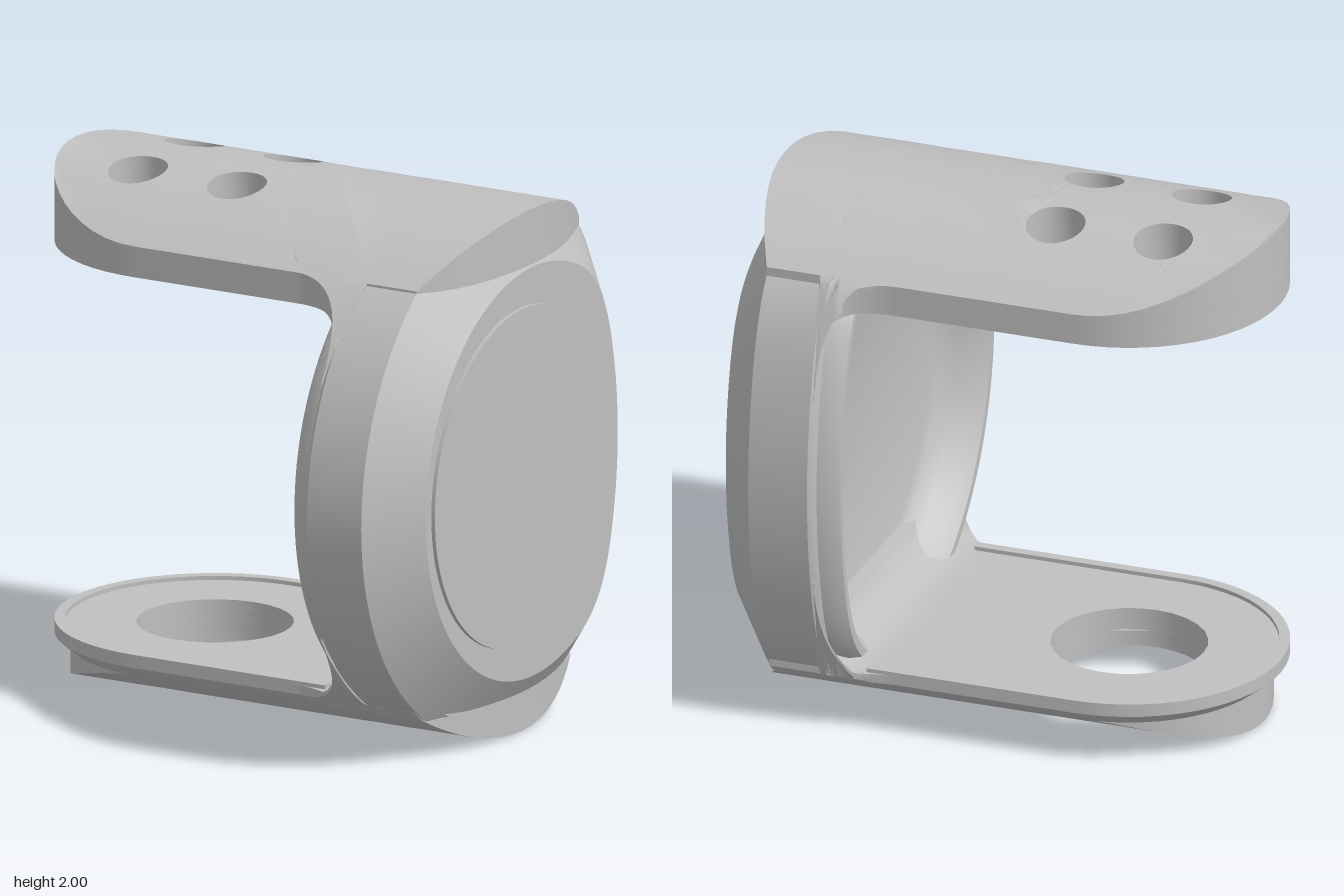
import * as THREE from 'three';
import { toCreasedNormals } from 'three/addons/utils/BufferGeometryUtils.js';

const HUB = -0.39, MID = -0.1; // x and z of the arms' round ends

// Half height of the barrel-shaped outer skin at depth z
function skin(z) {
  const round = 1 - (z - MID) ** 2;
  const back = z < 0 ? 3.92 - (1.1 - z) ** 2 : round;
  return Math.sqrt(Math.max(0, Math.min(round, back)));
}
const roof = (z) => 1 + skin(z);
const belly = (z) => 1 - skin(z);

// Rounded inside corner where an arm runs into the end block
function fillet(x) {
  const d = Math.min(Math.max(x - 0.42, 0), 0.19);
  return 0.2 - Math.sqrt(0.04 - d * d);
}

// Arm outline seen from above (shape y = -z): round end, straight sides, bowed far end
function armPlan(r, end, bow, flared) {
  const s = new THREE.Shape();
  const front = -MID - r, back = -MID + r;
  s.absarc(HUB, -MID, r, Math.PI / 2, Math.PI * 1.5, false);
  if (flared) {
    s.lineTo(0.3, front);
    s.absellipse(0.3, front - 0.28, 0.27, 0.28, Math.PI / 2, 0, true);
    s.lineTo(0.6, front);
  }
  s.lineTo(end, front);
  s.quadraticCurveTo(bow, -MID, end, back);
  if (flared) {
    s.lineTo(0.6, back);
    s.lineTo(0.57, back + 0.16);
    s.absellipse(0.3, back + 0.16, 0.27, 0.16, 0, -Math.PI / 2, true);
  }
  s.closePath();
  return s;
}

function drill(shape, holes, radius) {
  for (const [x, z] of holes) {
    const p = new THREE.Path();
    p.absarc(x, -z, radius, 0, Math.PI * 2, true);
    shape.holes.push(p);
  }
  return shape;
}

// Split triangles along edges where a height rule bends away from a straight line
function dice(geometry, rules) {
  const bends = (a, b) => rules.some((rule) => {
    const ya = rule(a.x, a.z), yb = rule(b.x, b.z);
    return [0.125, 0.25, 0.375, 0.5, 0.625, 0.75, 0.875].some((t) => {
      const y = rule(a.x + (b.x - a.x) * t, a.z + (b.z - a.z) * t);
      return Math.abs(y - ya - (yb - ya) * t) > 0.0025;
    });
  });
  const p = geometry.attributes.position;
  const stack = [], out = [];
  for (let i = 0; i < p.count; i += 3) {
    stack.push([0, 1, 2].map((k) => new THREE.Vector3().fromBufferAttribute(p, i + k)));
  }
  while (stack.length) {
    const t = stack.pop();
    const len = [0, 1, 2].map((k) => {
      const a = t[k], b = t[(k + 1) % 3], d = a.distanceTo(b);
      return d > 0.04 && bends(a, b) ? d : 0;
    });
    const longest = Math.max(...len);
    if (longest === 0) {
      for (const v of t) out.push(v.x, v.y, v.z);
      continue;
    }
    const k = len.indexOf(longest);
    const a = t[k], b = t[(k + 1) % 3], c = t[(k + 2) % 3];
    const m = a.clone().add(b).multiplyScalar(0.5);
    stack.push([a, m, c], [m, b, c]);
  }
  const g = new THREE.BufferGeometry();
  g.setAttribute('position', new THREE.Float32BufferAttribute(out, 3));
  return g;
}

// Plate between two height rules; taper pulls in the lower outer edge
function slab(shape, low, high, taper = 1) {
  const flat = new THREE.ExtrudeGeometry(shape, { depth: 0.01, bevelEnabled: false, curveSegments: 14 });
  flat.rotateX(-Math.PI / 2);
  const g = dice(flat, [low, high]);
  const p = g.attributes.position;
  for (let i = 0; i < p.count; i++) {
    let x = p.getX(i), z = p.getZ(i);
    const upper = p.getY(i) > 0.005;
    const ax = Math.min(Math.max(x, HUB), 0.8);
    if (!upper && Math.hypot(x - ax, z - MID) > 0.5) {
      x = ax + (x - ax) * taper;
      z = MID + (z - MID) * taper;
    }
    p.setXYZ(i, x, upper ? high(x, z) : low(x, z), z);
  }
  return toCreasedNormals(g, 0.6);
}

// End block: turned profile remapped to the barrel outline, with a shallow pocket inside
function endBlockGeometry() {
  const profile = [
    [0, 0.65], [0.71, 0.65], [0.75, 0.635], [0.79, 0.58], [0.83, 0.515], [0.87, 0.475], [0.905, 0.475],
    [0.935, 0.51], [0.95, 0.555], [0.98, 0.565], [0.993, 0.58], [0.993, 0.81], [0.78, 0.96], [0, 0.96],
  ].map(([r, h]) => new THREE.Vector2(r, h));
  const g = new THREE.LatheGeometry(profile, 128).toNonIndexed();
  const p = g.attributes.position;
  for (let i = 0; i < p.count; i++) {
    const a = p.getX(i), b = p.getZ(i), r = Math.hypot(a, b);
    const sin = r > 0 ? b / r : 0, cos = r > 0 ? a / r : 0;
    // flatter back side, blended softly into the round front
    const back = 1.19 - Math.sqrt(3.92 - sin * sin);
    const blend = Math.max(0, 0.14 - Math.abs(cos - back));
    const edge = Math.max(cos, back) + blend * blend / 0.56;
    p.setXYZ(i, p.getY(i), 1 + b, MID + r * edge);
  }
  return toCreasedNormals(g, 0.6);
}

export function createModel() {
  const model = new THREE.Group();
  const grey = new THREE.MeshStandardMaterial({ color: 0xc0c0c0 });
  grey.name = 'plain grey';
  const add = (name, geometry) => {
    const mesh = new THREE.Mesh(geometry, grey);
    mesh.name = name;
    model.add(mesh);
    return mesh;
  };

  add('endBlock', endBlockGeometry());

  // Raised round cover on the outer face
  const cover = new THREE.CylinderGeometry(0.64, 0.64, 0.03, 96);
  cover.rotateZ(-Math.PI / 2);
  add('roundCover', cover).position.set(0.96, 1.005, 0);

  // Upper arm in two layers, so the four screw holes are stepped
  const screws = [[-0.6, -0.31], [-0.18, -0.31], [-0.6, 0.1], [-0.18, 0.1]];
  const ledge = (x, z) => Math.min(1.78, roof(z) - 0.005);
  add('upperArmTop', slab(drill(armPlan(0.59, 0.81, 1.1, true), screws, 0.11), ledge, (x, z) => roof(z)));
  add('upperArmUnderside', slab(drill(armPlan(0.59, 0.81, 1.1, true), screws, 0.06),
    (x, z) => Math.min(1.69 - fillet(x), roof(z) - 0.015), ledge));

  // Lower arm: lip, tapered edge and curved belly around a stepped bore
  const bore = [[HUB, MID]];
  add('lowerArmLip', slab(drill(armPlan(0.59, 0.8, 1.0, true), bore, 0.29),
    (x, z) => Math.max(0.2, belly(z)), (x, z) => Math.max(0.235 + fillet(x), belly(z) + 0.015)));
  add('lowerArmTaper', slab(drill(armPlan(0.59, 0.8, 1.0, false), bore, 0.29),
    (x, z) => Math.max(0.15, belly(z)), (x, z) => Math.max(0.2, belly(z)), 0.53 / 0.59));
  add('lowerArmBelly', slab(drill(armPlan(0.53, 0.81, 1.01, false), bore, 0.36),
    (x, z) => belly(z), (x, z) => Math.max(0.15, belly(z) + 0.001)));
  const ring = new THREE.Shape();
  ring.absarc(HUB, -MID, 0.365, 0, Math.PI * 2, false);
  add('boreRing', slab(drill(ring, bore, 0.29), () => 0.085, () => 0.15));

  // Thin raised rim around the lower arm
  const rim = new THREE.Shape();
  rim.absarc(HUB, -MID, 0.59, Math.PI / 2, Math.PI * 1.5, false);
  rim.lineTo(0.42, -MID - 0.59);
  rim.lineTo(0.42, -MID - 0.55);
  rim.absarc(HUB, -MID, 0.55, Math.PI * 1.5, Math.PI / 2, true);
  rim.lineTo(0.42, -MID + 0.55);
  rim.lineTo(0.42, -MID + 0.59);
  rim.closePath();
  add('lowerArmRim', slab(rim, () => 0.23, () => 0.25));

  return model;
}
